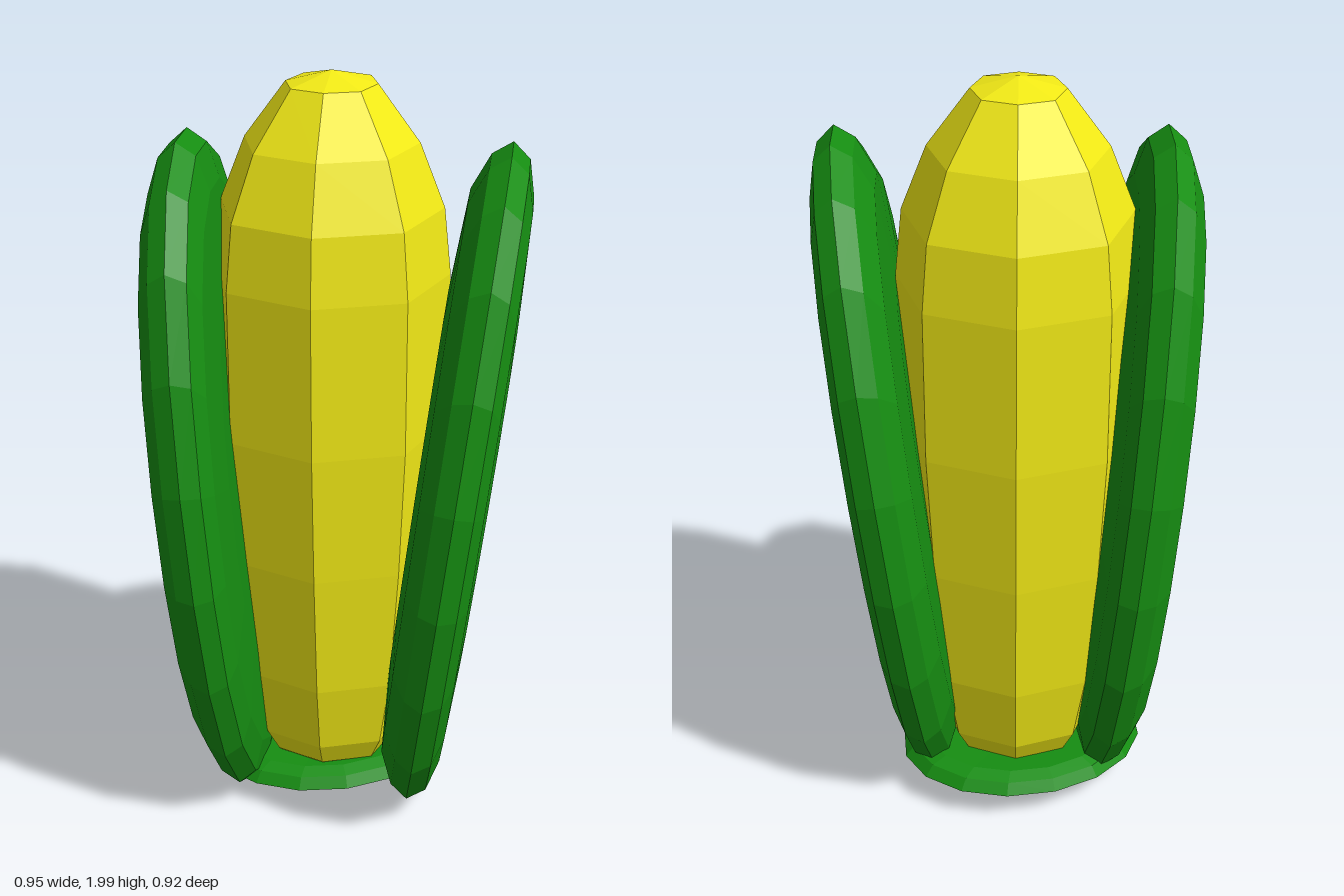
import * as THREE from 'three';

const GREEN = 0x168e12;
const YELLOW = 0xf2ea16;

// Faceted turned solid from [radius, height] pairs, swollen towards its diagonals
function turned(profile, sides, startAngle, swell) {
  const points = profile.map(([r, h]) => new THREE.Vector2(r, h));
  const geometry = new THREE.LatheGeometry(points, sides, startAngle);
  const p = geometry.attributes.position;
  for (let i = 0; i < p.count; i++) {
    const x = p.getX(i), z = p.getZ(i);
    const k = 1 + swell * Math.sin(2 * Math.atan2(z, x)) ** 2;
    p.setXYZ(i, x * k, p.getY(i), z * k);
  }
  return geometry;
}

function part(name, geometry, color) {
  const material = new THREE.MeshStandardMaterial({ color, flatShading: true });
  const mesh = new THREE.Mesh(geometry, material);
  mesh.name = name;
  return mesh;
}

// Thick oval husk leaf standing on edge, with flat faces and a bevelled rim
function huskLeaf(name, x, lean) {
  const profile = [
    [0, -0.103], [0.6, -0.1], [0.86, -0.086], [0.96, -0.048], [1, 0],
    [0.96, 0.047], [0.86, 0.071], [0.6, 0.081], [0, 0.083],
  ];
  const geometry = turned(profile, 20, Math.PI / 20, 0.025);
  geometry.scale(0.925, 1, 0.465);
  geometry.rotateZ(-Math.PI / 2);
  const leaf = part(name, geometry, GREEN);
  leaf.position.set(x, 0.927, 0);
  leaf.rotation.set(0, 0.04, lean);
  return leaf;
}

export function createModel() {
  const group = new THREE.Group();
  group.name = 'cornCob';

  // Eight-sided cob, narrowing to a blunt foot and a rounded tip
  const cob = part('cob', turned([
    [0, 0.01], [0.1, 0.05], [0.185, 0.13], [0.222, 0.2], [0.262, 0.4], [0.296, 0.75],
    [0.316, 1.1], [0.316, 1.5], [0.297, 1.67], [0.23, 1.83], [0.12, 1.97], [0, 2],
  ], 8, 0, 0.045), YELLOW);
  cob.scale.set(0.95, 1, 1);
  cob.position.set(-0.025, 0, -0.052);
  group.add(cob);

  // Two upright husk leaves
  group.add(huskLeaf('leftHuskLeaf', 0.311, -0.12));
  group.add(huskLeaf('rightHuskLeaf', -0.317, 0.08));

  // Flat husk leaf under the cob, its long axis turned a little
  const base = part('baseLeaf', turned([
    [0, -0.05], [0.45, -0.048], [0.8, -0.026], [1, 0], [0.93, 0.03], [0.8, 0.042], [0, 0.035],
  ], 16, 0, 0), GREEN);
  base.scale.set(0.34, 1, 0.27);
  base.position.set(-0.04, 0.087, -0.073);
  base.rotation.set(0.02, 0.35, 0.02);
  group.add(base);

  return group;
}
